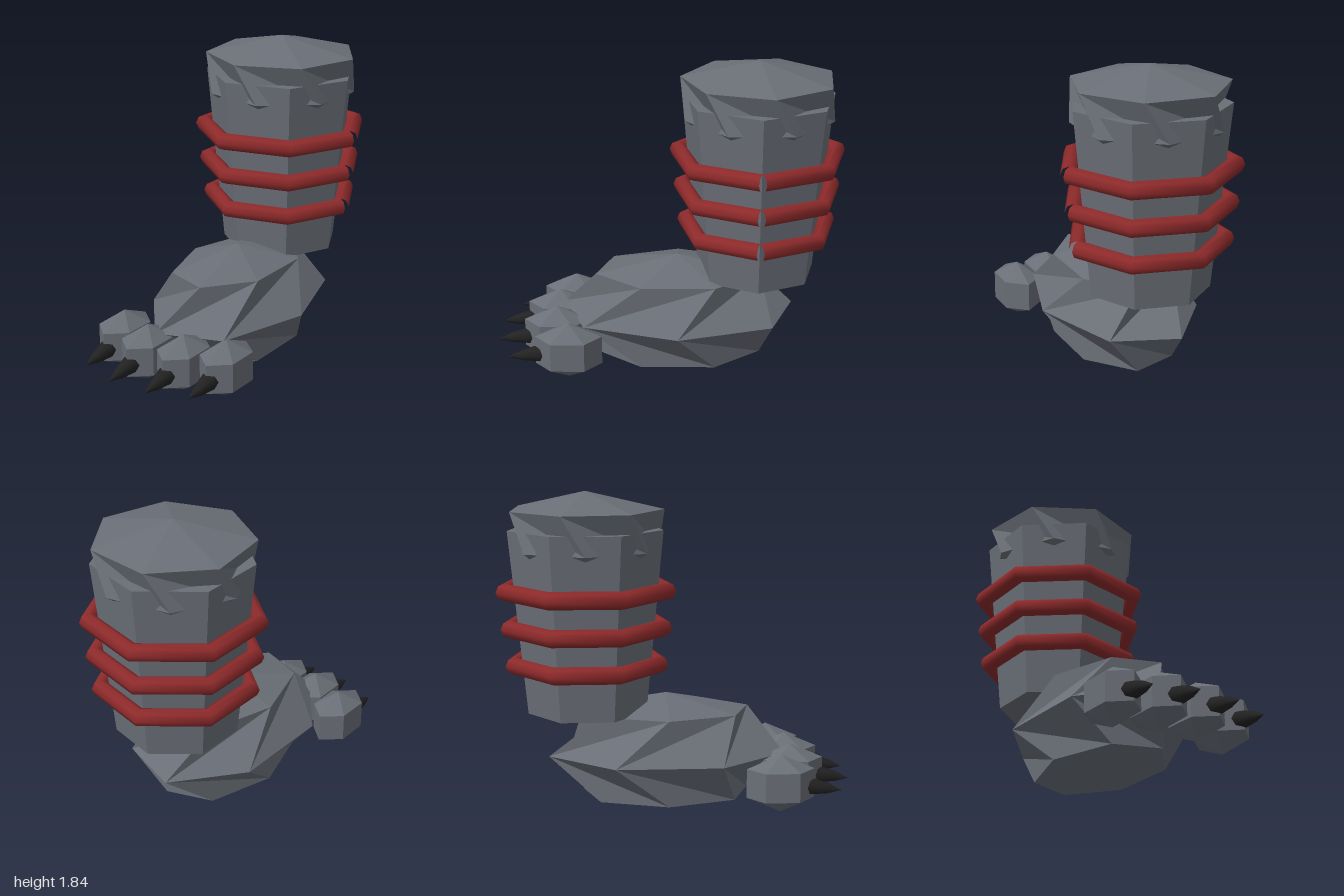
import * as THREE from 'three';

// Faceted solid: stacked rings between two poles; `twist` shifts how a ring joins the next one
function facetedSolid(n, rx, rz, topY, bottomY, rings) {
  const pos = [];
  const point = (ring, i) => {
    const a = ((i + (ring.phase || 0)) / n) * Math.PI * 2;
    return [Math.cos(a) * rx * ring.r, ring.y, Math.sin(a) * rz * ring.r];
  };
  const tri = (...p) => p.forEach((v) => pos.push(...v));
  const first = rings[0], last = rings[rings.length - 1];
  for (let i = 0; i < n; i++) {
    tri([0, topY, 0], point(first, i + 1), point(first, i));
    for (let k = 0; k < rings.length - 1; k++) {
      const s = rings[k].twist || 0;
      const a0 = point(rings[k], i), a1 = point(rings[k], i + 1);
      const b0 = point(rings[k + 1], i + s), b1 = point(rings[k + 1], i + s + 1);
      if (s < 0) { tri(a0, a1, b0); tri(a1, b1, b0); }
      else { tri(a0, a1, b1); tri(a0, b1, b0); }
    }
    tri([0, bottomY, 0], point(last, i), point(last, i + 1));
  }
  const g = new THREE.BufferGeometry();
  g.setAttribute('position', new THREE.Float32BufferAttribute(pos, 3));
  g.computeVertexNormals();
  return g;
}

// Seven-sided open loop followed by the bands
class HeptagonCurve extends THREE.Curve {
  constructor(radius) { super(); this.radius = radius; }
  getPoint(t, target = new THREE.Vector3()) {
    const k = Math.min(6, Math.floor(t * 7)), f = t * 7 - k;
    const a = (k / 7) * Math.PI * 2, b = ((k + 1) / 7) * Math.PI * 2, r = this.radius;
    return target.set(
      r * THREE.MathUtils.lerp(Math.cos(a), Math.cos(b), f), 0,
      r * THREE.MathUtils.lerp(Math.sin(a), Math.sin(b), f));
  }
  getPointAt(u, target) { return this.getPoint(u, target); }
  getTangentAt(u, target) { return this.getTangent(u, target); }
}

export function createModel() {
  const root = new THREE.Group();
  root.name = 'clawedLeg';

  const hide = new THREE.MeshStandardMaterial({ color: 0x6a6f77 });
  hide.name = 'grey hide';
  const red = new THREE.MeshStandardMaterial({ color: 0x8e2a2b });
  red.name = 'red band';
  const black = new THREE.MeshStandardMaterial({ color: 0x222222 });
  black.name = 'black claw';

  const add = (name, geometry, material, x, y, z) => {
    const mesh = new THREE.Mesh(geometry, material);
    mesh.name = name;
    mesh.position.set(x, y, z);
    root.add(mesh);
    return mesh;
  };

  const cx = -0.02, legZ = -0.5;

  // Tapered seven-sided shin
  const shin = new THREE.CylinderGeometry(0.443, 0.343, 1.04, 7).rotateY(Math.PI / 2).toNonIndexed();
  shin.computeVertexNormals();
  add('shin', shin, hide, cx, 1.12, legZ);

  // Twisted knee cap whose lower points poke out of the shin's flat sides
  add('kneeCap', facetedSolid(7, 0.443, 0.443, 0.34, -0.3, [
    { y: 0.24, r: 1, phase: -0.16, twist: -1 },
    { y: 0.02, r: 0.96, phase: 0.5 },
  ]), hide, cx, 1.51, legZ);

  // Three bands around the shin
  [[0.88, 0.417], [1.09, 0.44], [1.3, 0.463]].forEach(([y, r], i) => {
    add('band' + (i + 1), new THREE.TubeGeometry(new HeptagonCurve(r), 7, 0.05, 8, false), red, cx, y, legZ);
  });

  // Foot: upper and lower rings sit half a step off the middle one
  add('foot', facetedSolid(7, 0.44, 0.69, 0.345, -0.345, [
    { y: 0.247, r: 0.707, phase: 0.5, twist: 1 },
    { y: 0, r: 1, twist: -1 },
    { y: -0.247, r: 0.707, phase: 0.5 },
  ]), hide, cx, 0.352, -0.05);

  // Toes with curved claws, the outer pair set further back
  const toe = facetedSolid(6, 0.127, 0.19, 0.165, -0.165, [
    { y: 0.083, r: 1, phase: 1.5 },
    { y: -0.083, r: 1, phase: 1.5 },
  ]);
  const clawProfile = [[0, 0.08], [0.056, 0.08], [0.05, 0.17], [0.03, 0.27], [0, 0.35]];
  const claw = new THREE.LatheGeometry(clawProfile.map(([r, y]) => new THREE.Vector2(r, y)), 8).rotateX(Math.PI / 2);
  [[-0.375, 0.57], [-0.145, 0.65], [0.1, 0.65], [0.33, 0.57]].forEach(([x, z], i) => {
    add('toe' + (i + 1), toe, hide, x, 0.25, z);
    add('claw' + (i + 1), claw, black, x, 0.255, z).rotation.x = 0.15;
  });

  return root;
}
